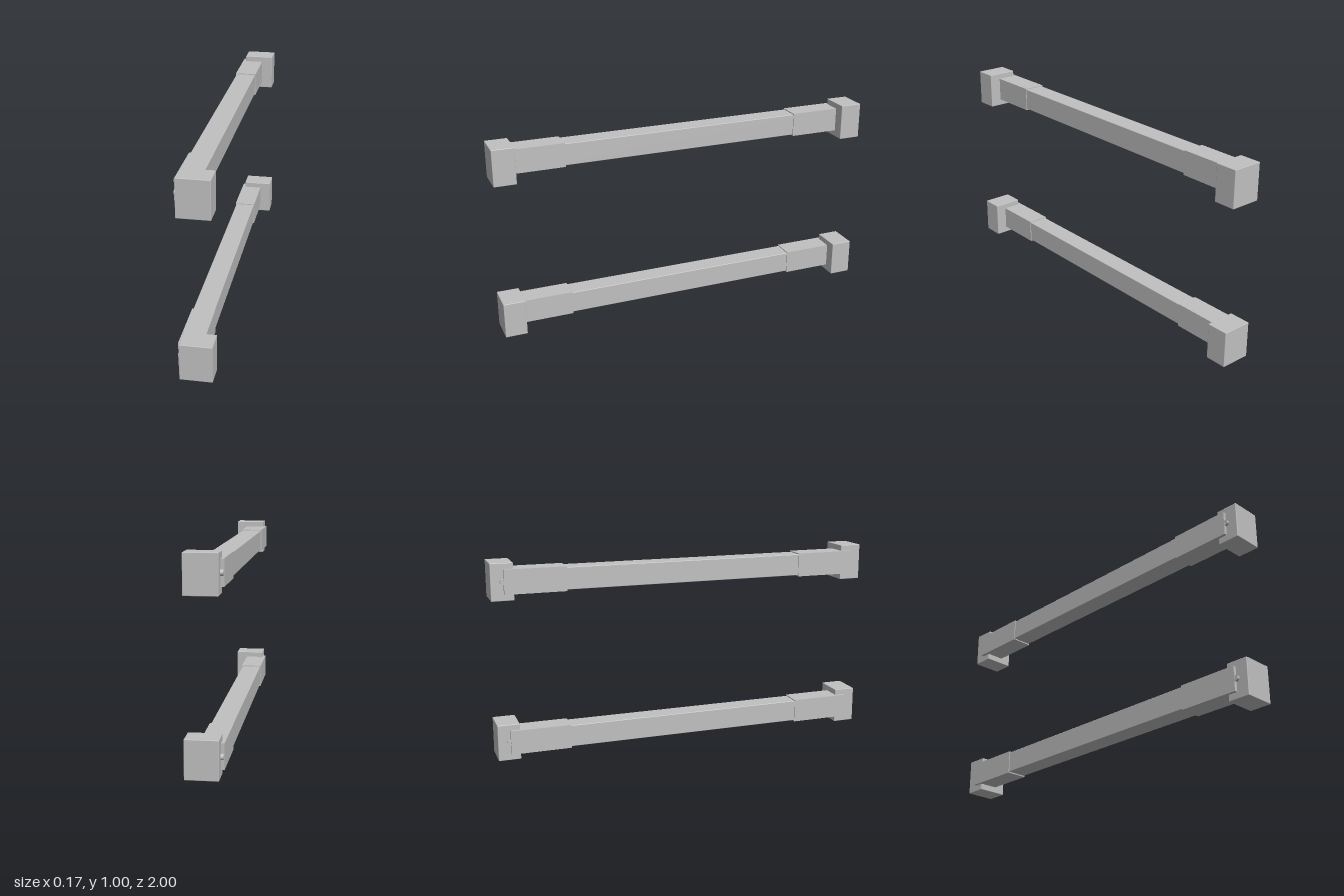
import * as THREE from 'three';
import { RoundedBoxGeometry } from 'three/addons/geometries/RoundedBoxGeometry.js';

const steel = new THREE.MeshStandardMaterial({ color: 0xc0c0c0 });
steel.name = 'light grey';

// Box given by its lower and upper corners, with slightly eased edges when r > 0
function block(name, min, max, r = 0) {
  const size = max.map((v, i) => v - min[i]);
  const geometry = r ? new RoundedBoxGeometry(...size, 2, r) : new THREE.BoxGeometry(...size);
  const mesh = new THREE.Mesh(geometry, steel);
  mesh.name = name;
  mesh.position.set(...max.map((v, i) => (v + min[i]) / 2));
  return mesh;
}

// One end of a rail: end block, sleeve and locking pin, built towards +z
function railEnd(name, side) {
  const end = new THREE.Group();
  end.name = name;
  const z = (a, b) => (side > 0 ? [a, b] : [-b, -a]);
  const [b0, b1] = z(0.887, 1);
  const [s0, s1] = z(0.628, 0.937);
  end.add(block('endBlock', [-0.071, 0.001, b0], [0.085, 0.187, b1], 0.003));
  end.add(block('sleeve', [-0.087, 0.034, s0], [0.026, 0.157, s1]));

  const pin = new THREE.Mesh(new THREE.CylinderGeometry(0.014, 0.014, 0.03, 20), steel);
  pin.name = 'lockingPin';
  pin.rotation.z = Math.PI / 2;
  pin.position.set(-0.07, 0.096, side * 0.941);
  end.add(pin);
  return end;
}

function rail(name, y) {
  const group = new THREE.Group();
  group.name = name;
  group.position.y = y;
  group.add(block('bar', [-0.083, 0.04, -0.9], [0.022, 0.152, 0.9], 0.003));
  group.add(railEnd('frontEnd', 1), railEnd('backEnd', -1));
  return group;
}

export function createModel() {
  const model = new THREE.Group();
  model.name = 'railPair';
  model.add(rail('lowerRail', 0), rail('upperRail', 0.814));
  return model;
}
